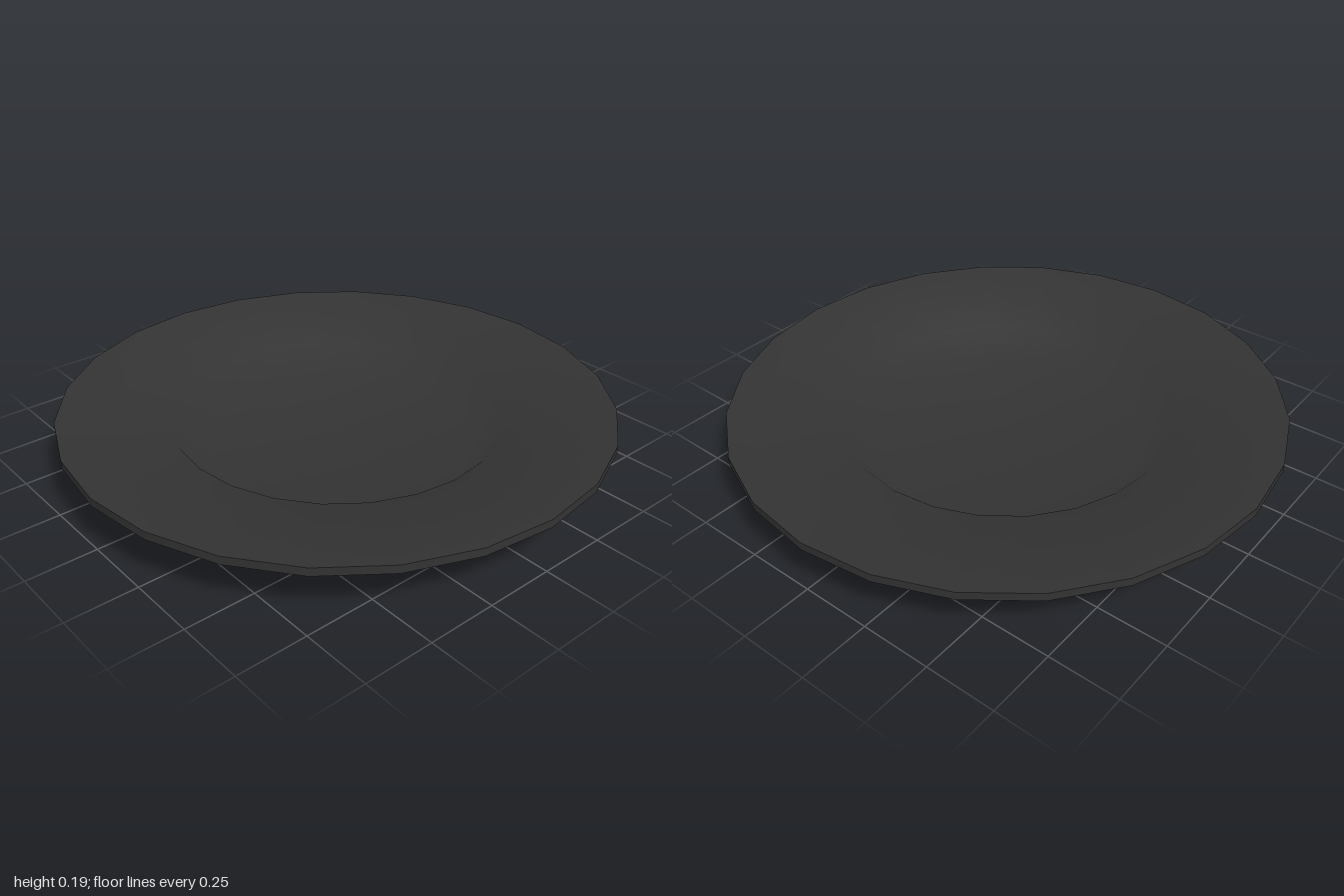
import * as THREE from 'three';

const SIDES = 24;

export function createModel() {
  const plate = new THREE.Group();
  plate.name = 'plate';
  const material = new THREE.MeshStandardMaterial({ color: 0x333333 });

  // Each surface is a smooth lathe; the rim edges between them stay sharp.
  const addSurface = (name, profile) => {
    const points = profile.map(([r, y]) => new THREE.Vector2(r, y));
    const mesh = new THREE.Mesh(new THREE.LatheGeometry(points, SIDES), material);
    mesh.name = name;
    plate.add(mesh);
  };

  // Foot, sloping well wall and underside of the rim
  addSurface('underside', [[0, 0], [0.49, 0], [0.6, 0.11], [1, 0.165]]);
  // Thin outer edge
  addSurface('rimEdge', [[1, 0.165], [1, 0.195]]);
  // Rim top, well wall and well floor
  addSurface('topSurface', [[1, 0.195], [0.6, 0.14], [0.49, 0.03], [0, 0.03]]);

  return plate;
}
